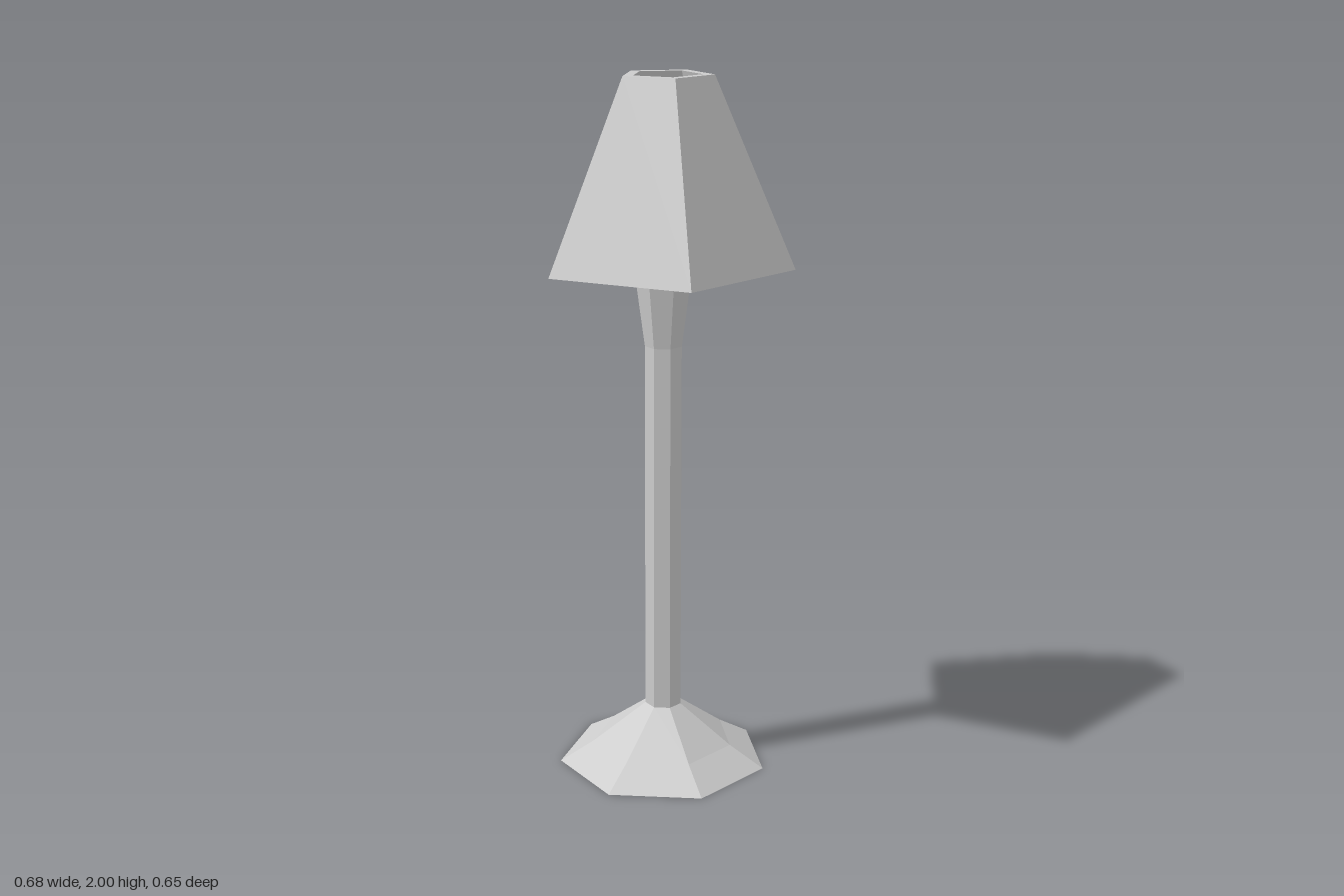
import * as THREE from 'three';

const material = new THREE.MeshStandardMaterial({ color: 0xcccccc, flatShading: true });

// Faceted turned part: profile is [radius, y] pairs, with one corner pointing to the back
function turned(name, profile, sides, z) {
  const points = profile.map(([r, y]) => new THREE.Vector2(r, y));
  const mesh = new THREE.Mesh(new THREE.LatheGeometry(points, sides, Math.PI), material);
  mesh.name = name;
  mesh.position.z = z;
  return mesh;
}

export function createModel() {
  const lamp = new THREE.Group();
  lamp.name = 'floorLamp';

  // Seven-sided stand: flared foot, straight pole, bulb tapering inside the shade
  const stand = new THREE.Group();
  stand.name = 'stand';
  stand.add(
    turned('base', [[0, 0], [0.305, 0], [0.205, 0.06], [0.053, 0.172]], 7, 0.025),
    turned('pole', [[0.053, 0.172], [0.053, 1.25]], 7, 0.025),
    turned('bulb', [[0.053, 1.25], [0.08, 1.45], [0.017, 1.83], [0, 1.83]], 7, 0.025),
  );
  lamp.add(stand);

  // Five-sided hollow shade with a thick wall, open at both ends
  lamp.add(turned('shade', [
    [0.342, 1.475], [0.358, 1.475], [0.132, 2], [0.1, 2], [0.342, 1.475],
  ], 5, 0.033));

  return lamp;
}
